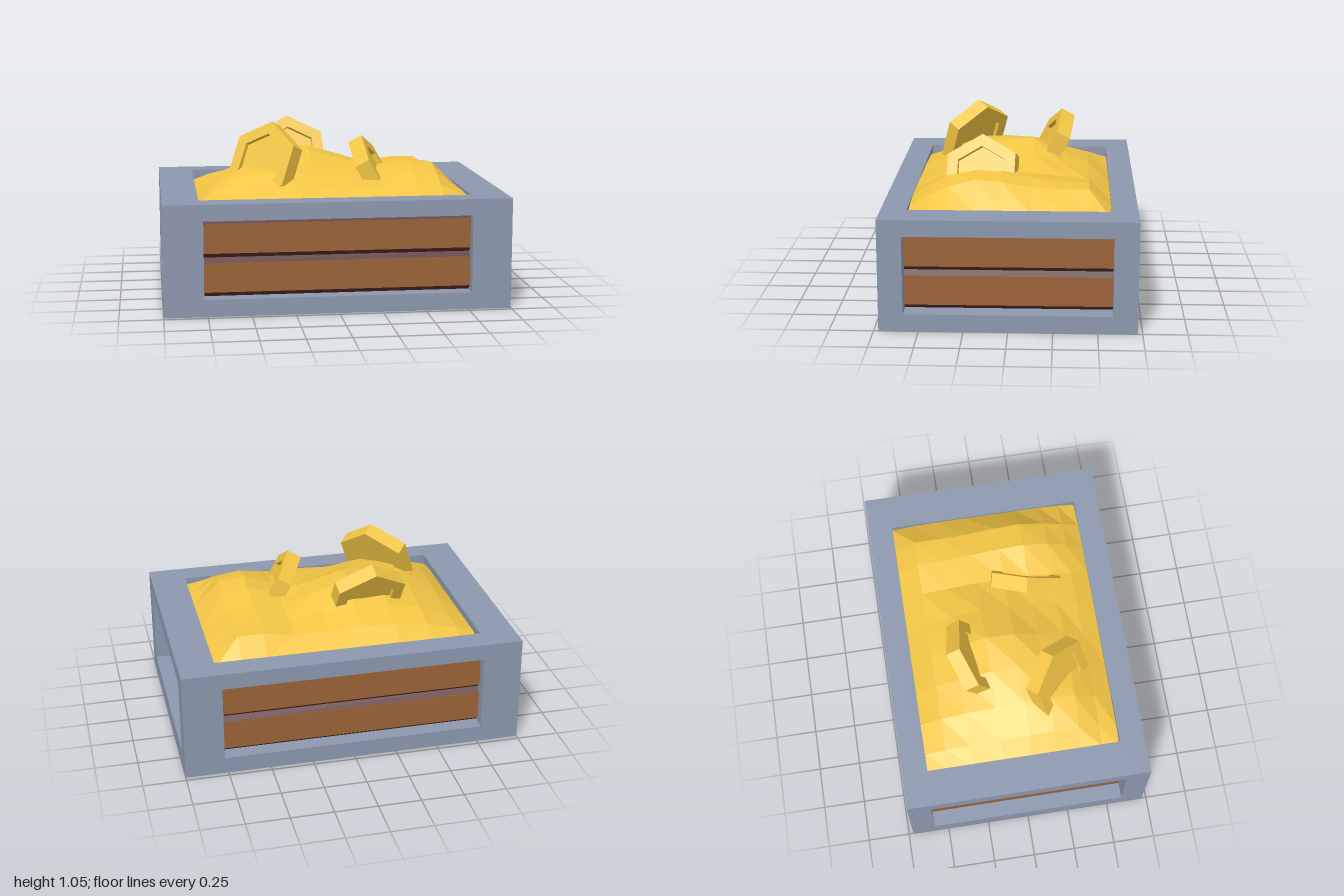
import * as THREE from 'three';

const mat = (color, extra = {}) =>
  new THREE.MeshStandardMaterial({ color, flatShading: true, ...extra });
const steel = mat(0x8c98ae);
const wood = mat(0x9a6236);
const darkWood = mat(0x55292b);
const gold = mat(0xf2c544);
const goldSheet = mat(0xf2c544, { side: THREE.DoubleSide });

const HX = 1, HZ = 0.723;              // outer half sizes
const IX = 0.79, IZ = 0.575;           // half sizes of the top opening
const LOW = 0.10, HIGH = 0.55, TOP = 0.645;

function add(parent, name, geometry, material, x = 0, y = 0, z = 0) {
  const mesh = new THREE.Mesh(geometry, material);
  mesh.name = name;
  mesh.position.set(x, y, z);
  parent.add(mesh);
  return mesh;
}

function polygon(points, Type = THREE.Shape) {
  return new Type(points.map(([x, y]) => new THREE.Vector2(x, y)));
}
const rectangle = (a, b) => [[-a, -b], [a, -b], [a, b], [-a, b]];
const hexagon = (r) => Array.from({ length: 6 }, (_, i) => {
  const t = Math.PI / 2 + i * Math.PI / 3;
  return [r * Math.cos(t), r * Math.sin(t)];
});
function ring(outer, inner, depth) {
  const shape = polygon(outer);
  shape.holes.push(polygon(inner, THREE.Path));
  return new THREE.ExtrudeGeometry(shape, { depth, bevelEnabled: false });
}

// Heavy frame: base slab, four posts and a top rim
function createFrame() {
  const frame = new THREE.Group();
  frame.name = 'frame';
  add(frame, 'base', new THREE.BoxGeometry(2 * HX, LOW, 2 * HZ), steel, 0, LOW / 2, 0);
  const rim = ring(rectangle(HX, HZ), rectangle(IX, IZ), TOP - HIGH).rotateX(-Math.PI / 2);
  add(frame, 'topRim', rim, steel, 0, HIGH, 0);
  const w = HX - 0.77, d = HZ - 0.585;
  for (const sx of [-1, 1]) for (const sz of [-1, 1]) {
    add(frame, 'cornerPost', new THREE.BoxGeometry(w, HIGH - LOW, d), steel,
      sx * (HX - w / 2), (LOW + HIGH) / 2, sz * (HZ - d / 2));
  }
  return frame;
}

// Two bevelled planks, facing +z, with the face at z = 0
function createPanel(length) {
  const panel = new THREE.Group();
  panel.name = 'plankPanel';
  const h = (HIGH - LOW) / 2, bevel = 0.027;
  for (let i = 0; i < 2; i++) {
    const y = LOW + i * h;
    const profile = polygon([[-0.06, 0], [-0.03, 0], [0, bevel], [0, h - bevel], [-0.03, h], [-0.06, h]]);
    const core = new THREE.ExtrudeGeometry(profile, { depth: length, bevelEnabled: false });
    core.translate(0, y, -length / 2).rotateY(-Math.PI / 2);
    add(panel, 'plankBevel', core, darkWood);
    add(panel, 'plankFace', new THREE.BoxGeometry(length, h - 2 * bevel, 0.006), wood, 0, y + h / 2, 0);
  }
  return panel;
}

// Lumpy heap of treasure, heights sampled on an uneven grid
function createHeap() {
  const xs = [-IX, -0.68, -0.5, -0.3, -0.1, 0.1, 0.3, 0.48, 0.63, IX];
  const zs = [-IZ, -0.45, -0.3, -0.12, 0.05, 0.2, 0.35, 0.47, IZ];
  const heights = [
    [58, 60, 62, 62, 62, 63, 63, 63, 63, 60],
    [60, 64, 68, 70, 71, 70, 70, 73, 73, 62],
    [60, 65, 72, 76, 77, 75, 72, 74, 73, 63],
    [60, 66, 74, 82, 86, 80, 74, 76, 74, 63],
    [60, 68, 78, 83, 85, 79, 75, 79, 77, 63],
    [60, 69, 78, 81, 79, 75, 74, 80, 78, 63],
    [60, 68, 75, 77, 74, 72, 72, 77, 74, 63],
    [60, 64, 68, 69, 68, 69, 69, 71, 69, 62],
    [58, 61, 62, 63, 63, 64, 64, 64, 63, 60],
  ];
  const geometry = new THREE.PlaneGeometry(1, 1, xs.length - 1, zs.length - 1);
  const p = geometry.attributes.position;
  for (let j = 0; j < zs.length; j++) for (let i = 0; i < xs.length; i++) {
    p.setXYZ(j * xs.length + i, xs[i], heights[j][i] / 100, zs[j]);
  }
  geometry.computeVertexNormals();
  return geometry;
}

// Six-sided coin with a raised rim, standing upright and facing +z
function createCoin() {
  const coin = new THREE.Group();
  coin.name = 'coin';
  const t = 0.09, r = 0.24, inner = 0.165;
  add(coin, 'coinRim', ring(hexagon(r), hexagon(inner), t), gold, 0, 0, -t / 2);
  const disc = new THREE.ExtrudeGeometry(polygon(hexagon(inner)), { depth: t - 0.05, bevelEnabled: false });
  add(coin, 'coinCentre', disc, gold, 0, 0, -t / 2 + 0.025);
  return coin;
}

export function createModel() {
  const model = new THREE.Group();
  model.name = 'treasureCrate';
  model.add(createFrame());

  // Plank panels on all four sides
  for (let i = 0; i < 4; i++) {
    const side = i % 2 === 1;
    const panel = createPanel(side ? 1.2 : 1.6);
    const angle = i * Math.PI / 2, reach = side ? 0.91 : 0.66;
    panel.rotation.y = angle;
    panel.position.set(Math.sin(angle) * reach, 0, Math.cos(angle) * reach);
    model.add(panel);
  }

  add(model, 'goldHeap', createHeap(), goldSheet);

  // Coins half buried in the heap: position, lean, turn, roll
  const coins = [
    [[-0.385, 0.81, 0.265], 0.40, -0.76, -0.06],
    [[-0.19, 0.79, -0.217], 0.48, 0.12, 0.02],
    [[0.28, 0.72, 0.18], 0.50, 1.32, 0.08],
  ];
  for (const [position, lean, turn, roll] of coins) {
    const coin = createCoin();
    coin.position.set(...position);
    coin.rotation.set(-lean, turn, roll, 'YXZ');
    model.add(coin);
  }
  return model;
}
